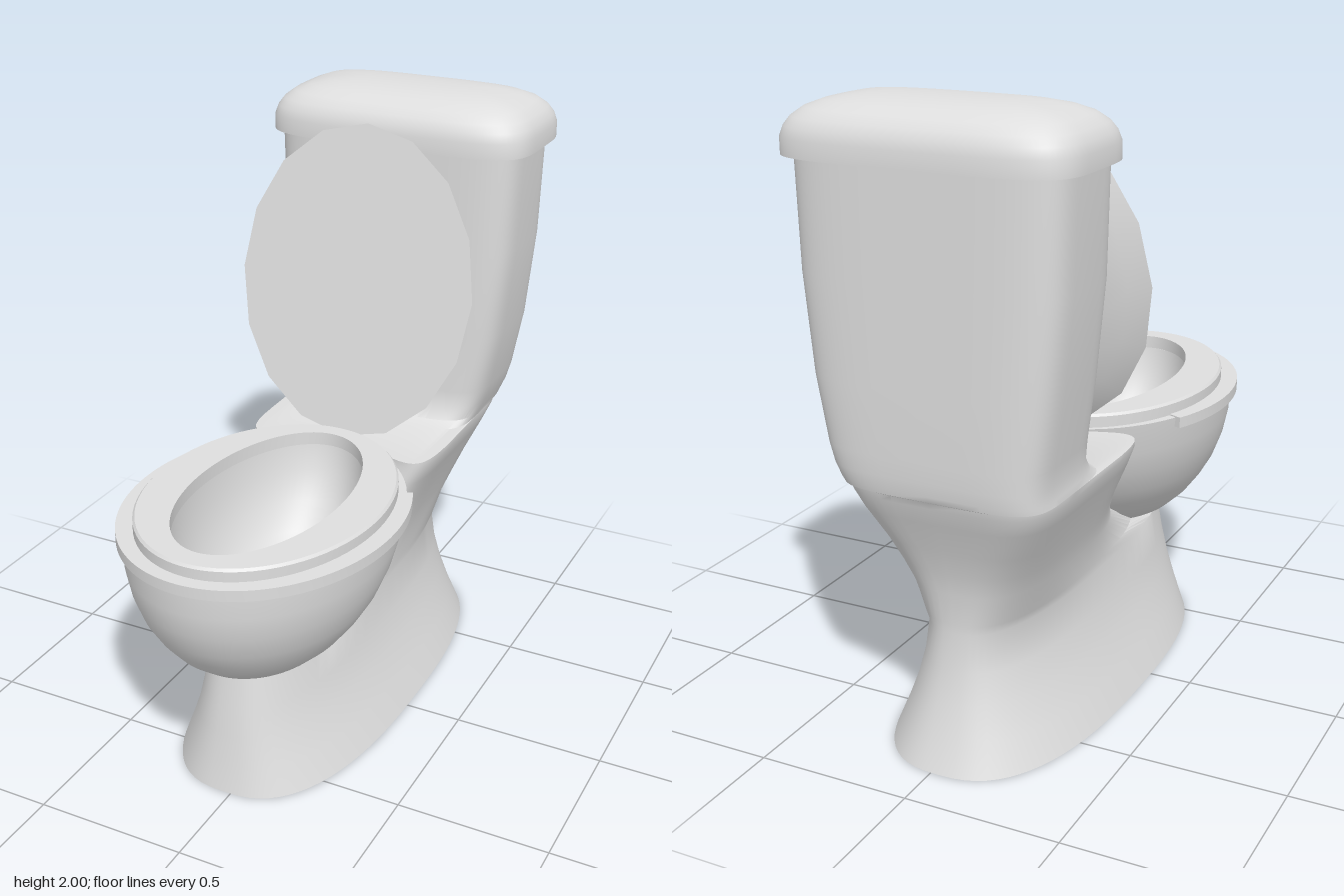
import * as THREE from 'three';
import { toCreasedNormals } from 'three/addons/utils/BufferGeometryUtils.js';

const SEGMENTS = 72;

// Skin a stack of superellipse rings: [y, centreX, halfWidth, zFront, zBack, exponent, frontDent]
function loft(rings, capStart = true, capEnd = true, crease = 0.6) {
  const pos = [], index = [];
  const middle = ([y, cx, , zf, zb]) => [cx, y, (zf + zb) / 2];
  const power = (v, n) => Math.sign(v) * Math.abs(v) ** (2 / n);
  for (const ring of rings) {
    const [y, cx, w, zf, zb, n = 2, dent = 0] = ring;
    for (let j = 0; j < SEGMENTS; j++) {
      const a = (j / SEGMENTS) * Math.PI * 2;
      const u = power(Math.cos(a), n), v = power(Math.sin(a), n);
      const hollow = dent * (1 - u * u) * Math.max(v, 0);
      pos.push(cx + w * u, y, (zf + zb) / 2 + ((zf - zb) / 2) * v - hollow);
    }
  }
  for (let i = 0; i < rings.length - 1; i++) {
    for (let j = 0; j < SEGMENTS; j++) {
      const k = (j + 1) % SEGMENTS;
      const a = i * SEGMENTS + j, b = i * SEGMENTS + k;
      index.push(a, a + SEGMENTS, b, b, a + SEGMENTS, b + SEGMENTS);
    }
  }
  const cap = (i, flip) => {
    const c = pos.length / 3;
    pos.push(...middle(rings[i]));
    for (let j = 0; j < SEGMENTS; j++) {
      const a = i * SEGMENTS + j, b = i * SEGMENTS + ((j + 1) % SEGMENTS);
      if (flip) index.push(c, b, a); else index.push(c, a, b);
    }
  };
  if (capStart) cap(0, false);
  if (capEnd) cap(rings.length - 1, true);
  const g = new THREE.BufferGeometry();
  g.setAttribute('position', new THREE.Float32BufferAttribute(pos, 3));
  g.setIndex(index);
  return toCreasedNormals(g, crease);
}

export function createModel() {
  const group = new THREE.Group();
  const ceramic = new THREE.MeshStandardMaterial({ color: 0xdedede });
  ceramic.name = 'ceramic';
  const add = (name, geometry) => {
    const mesh = new THREE.Mesh(geometry, ceramic);
    mesh.name = name;
    group.add(mesh);
    return mesh;
  };
  const CX = -0.025; // the bowl sits slightly off the tank's centre line

  // Pedestal, rear deck and tank in one continuous skin
  add('pedestalAndTank', loft([
    [0, CX, 0.335, 0.69, -0.85, 2.6],
    [0.1, CX, 0.293, 0.67, -0.81, 2.6],
    [0.2, CX, 0.253, 0.655, -0.78, 2.6],
    [0.3, CX, 0.225, 0.64, -0.755, 2.6],
    [0.42, CX, 0.203, 0.62, -0.745, 2.6],
    [0.45, CX, 0.203, 0.35, -0.745, 2.7],
    [0.55, CX, 0.22, 0.1, -0.75, 3],
    [0.62, CX, 0.242, 0.02, -0.765, 3.4],
    [0.7, CX, 0.27, -0.01, -0.79, 4, 0.06],
    [0.8, CX, 0.31, -0.02, -0.83, 5, 0.11],
    [0.86, CX, 0.335, -0.02, -0.855, 5, 0.13],
    [0.88, CX, 0.336, -0.02, -0.86, 5, 0.13],
    [0.882, CX, 0.336, -0.36, -0.862, 5],
    [0.9, -0.02, 0.337, -0.4, -0.866, 5],
    [0.94, -0.01, 0.343, -0.425, -0.87, 5],
    [1.0, -0.005, 0.355, -0.43, -0.872, 5],
    [1.2, 0, 0.388, -0.43, -0.872, 5],
    [1.5, 0, 0.418, -0.43, -0.872, 5],
    [1.84, 0, 0.428, -0.43, -0.872, 5],
  ]));

  // Pillow-shaped tank cover
  const cover = [[1.83, 0], [1.88, 0], [1.91, 0.008], [1.935, 0.022], [1.96, 0.048],
    [1.978, 0.085], [1.99, 0.13], [1.998, 0.18], [2, 0.23]];
  add('tankCover', loft(cover.map(([y, inset]) =>
    [y, 0, 0.46 - inset * 1.25, -0.405 - inset, -0.91 + inset, 4.5 - inset * 6])));

  // Bowl: outer shell going up, rim, then the inner basin going down
  const outer = [[0.39, 0.05], [0.4, 0.12], [0.42, 0.17], [0.45, 0.222], [0.5, 0.275],
    [0.56, 0.32], [0.62, 0.355], [0.7, 0.386], [0.78, 0.405], [0.885, 0.415]];
  const inner = [[0.885, 1], [0.8, 0.97], [0.7, 0.86], [0.62, 0.7], [0.56, 0.5], [0.53, 0.28], [0.52, 0.08]];
  add('bowl', loft([
    ...outer.map(([y, r]) => {
      const cz = 0.37 + (0.885 - y) * 0.11, rz = r * 1.27;
      return [y, CX, r, cz + rz, cz - rz];
    }),
    ...inner.map(([y, s]) => [y, CX, 0.247 * s, 0.35 + 0.442 * s, 0.35 - 0.442 * s]),
  ]));

  // Lip around the front of the bowl, ending at the sides
  const lip = new THREE.Shape();
  lip.absellipse(CX, 0.37, 0.435, 0.54, -0.524, Math.PI + 0.524, false);
  lip.absellipse(CX, 0.37, 0.34, 0.47, Math.PI + 0.524, -0.524, true);
  lip.closePath();
  const lipGeometry = new THREE.ExtrudeGeometry(lip, { depth: 0.036, bevelEnabled: false, curveSegments: 40 });
  lipGeometry.rotateX(Math.PI / 2);
  add('bowlLip', toCreasedNormals(lipGeometry, 0.6)).position.y = 0.889;

  // Seat ring
  const seatOut = [0.38, 0.865, -0.15], seatIn = [0.243, 0.79, -0.09];
  add('seat', loft([
    [0.886, CX, ...seatOut],
    [0.922, CX, ...seatOut],
    [0.93, CX, 0.373, 0.858, -0.143],
    [0.93, CX, ...seatIn],
    [0.886, CX, ...seatIn],
    [0.886, CX, ...seatOut],
  ], false, false));

  // Raised seat lid: flat front, shallow domed back, leaning towards the tank
  const lidProfile = [[0, 0], [1, 0], [0.85, 0.04], [0.62, 0.07], [0.3, 0.08], [0, 0.082]]
    .map(([r, d]) => new THREE.Vector2(r, d));
  const lidGeometry = new THREE.LatheGeometry(lidProfile, 16);
  lidGeometry.rotateX(-Math.PI / 2);
  lidGeometry.scale(0.415, 0.522, 1);
  const lid = add('seatLid', toCreasedNormals(lidGeometry, 0.6));
  lid.position.set(CX, 1.41, -0.25);
  lid.rotation.x = -0.175;

  return group;
}
